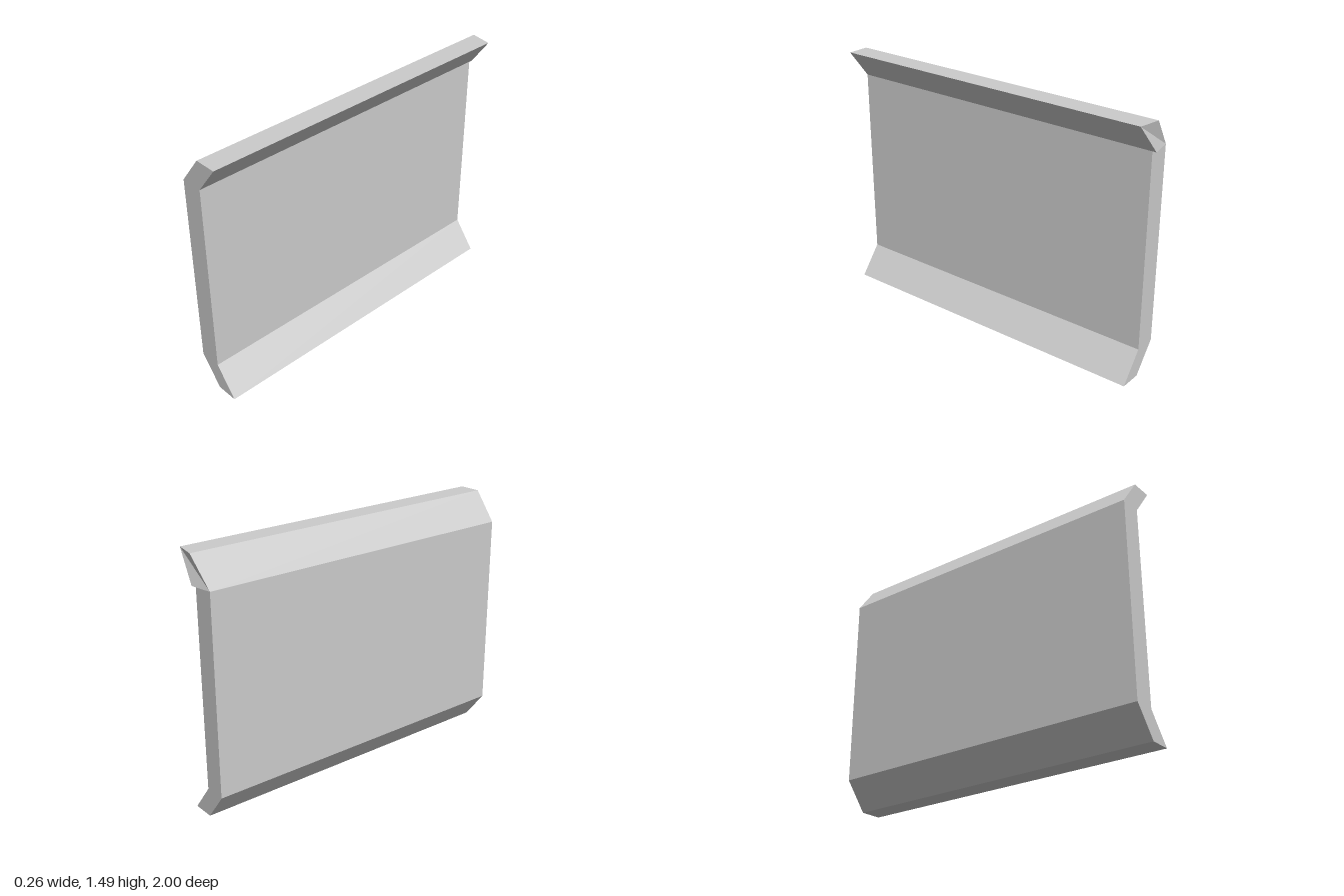
import * as THREE from 'three';

const W = 0.13, LOW = 0.168, HIGH = 1.32, TOP = 1.487;
const FRONT = 1, BACK = -0.977, TIP = -1;

// Bar along z with a four-cornered section (counter-clockwise from the front).
// Each corner has its own back z; edges listed in `open` join a neighbouring part.
function bar(name, section, backs, open, extra = []) {
  const f = section.map(([x, y]) => [x, y, FRONT]);
  const b = section.map(([x, y], i) => [x, y, backs[i]]);
  const pos = [];
  const tri = (...pts) => pts.forEach((p) => pos.push(...p));
  const quad = (p, q, r, s) => { tri(p, q, r); tri(p, r, s); };
  quad(f[0], f[1], f[2], f[3]);
  quad(b[0], b[3], b[2], b[1]);
  for (let i = 0; i < 4; i++) {
    const j = (i + 1) % 4;
    if (!open.includes(i)) quad(f[i], b[i], b[j], f[j]);
  }
  extra.forEach((t) => tri(...t));
  const geo = new THREE.BufferGeometry();
  geo.setAttribute('position', new THREE.Float32BufferAttribute(pos, 3));
  geo.computeVertexNormals();
  const mesh = new THREE.Mesh(geo, new THREE.MeshStandardMaterial({ color: 0xcccccc, flatShading: true }));
  mesh.name = name;
  return mesh;
}

export function createModel() {
  const group = new THREE.Group();
  group.name = 'flangedPanel';
  const flat = [BACK, BACK, BACK, BACK];

  // upright web
  group.add(bar('panel', [[-W, LOW], [0, LOW], [0, HIGH], [-W, HIGH]], flat, [0, 2]));

  // slanted foot
  group.add(bar('lowerFlange', [[0, 0], [W, 0], [0, LOW], [-W, LOW]], flat, [2]));

  // slanted head: two back corners overhang the web, leaving a small underside triangle
  group.add(bar('upperFlange', [[-W, HIGH], [0, HIGH], [W, TOP], [0, TOP]],
    [BACK, TIP, BACK, TIP], [0],
    [[[-W, HIGH, BACK], [0, HIGH, TIP], [0, HIGH, BACK]]]));

  return group;
}
